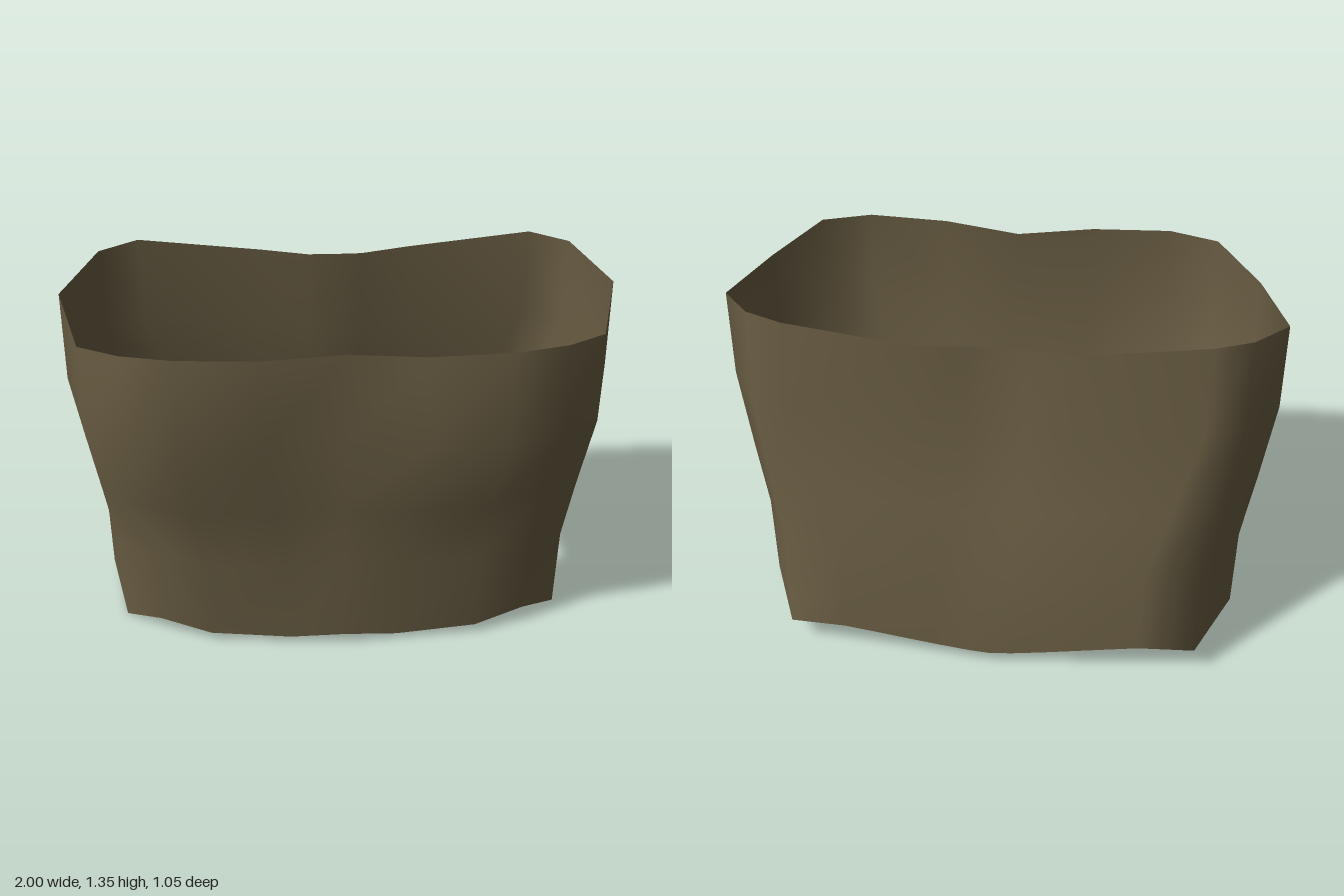
import * as THREE from 'three';

// Half outline from front centre round the left side to back centre:
// bottom rim [x, y, z], top rim [x, y, z]
const COLUMNS = [
  [[0, 0.055, 0.41], [0, 1.29, 0.46]],
  [[0.2, 0.03, 0.385], [0.28, 1.3, 0.51]],
  [[0.5, 0.045, 0.365], [0.57, 1.31, 0.51]],
  [[0.69, 0.075, 0.305], [0.75, 1.305, 0.46]],
  [[0.83, 0.005, 0.18], [0.91, 1.245, 0.28]],
  [[0.9, 0.04, -0.12], [1, 1.28, -0.05]],
  [[0.76, 0.11, -0.49], [0.87, 1.345, -0.26]],
  [[0.55, 0.125, -0.515], [0.73, 1.355, -0.33]],
  [[0.2, 0.07, -0.52], [0.28, 1.3, -0.34]],
  [[0.08, 0.06, -0.528], [0.1, 1.29, -0.31]],
  [[0, 0.055, -0.53], [0, 1.29, -0.308]],
];

// Height of each ring, and how far it has moved from bottom outline to top outline
const HEIGHTS = [0, 0.27, 0.47, 0.72, 1];
const FRONT = [0, 0.22, 0.46, 1.08, 1];
const SIDE = [0, 0.05, 0.5, 1, 1];
const BACK = [0, 0.2, 0.52, 0.83, 1];

function bandGeometry() {
  const half = COLUMNS.length;
  const count = 2 * half - 2;
  const positions = [];
  const index = [];
  HEIGHTS.forEach((h, row) => {
    for (let i = 0; i < count; i++) {
      const mirrored = i >= half;
      const c = mirrored ? count - i : i;
      const [bottom, top] = COLUMNS[c];
      const wz = (c < 5 ? FRONT : c < 6 ? SIDE : BACK)[row];
      const x = THREE.MathUtils.lerp(bottom[0], top[0], SIDE[row]);
      const y = THREE.MathUtils.lerp(bottom[1], top[1], h);
      const z = THREE.MathUtils.lerp(bottom[2], top[2], wz);
      positions.push(mirrored ? -x : x, y, z);
    }
  });
  for (let row = 0; row < HEIGHTS.length - 1; row++) {
    for (let i = 0; i < count; i++) {
      const a = row * count + i;
      const b = row * count + ((i + 1) % count);
      index.push(a, b, b + count, a, b + count, a + count);
    }
  }
  const geometry = new THREE.BufferGeometry();
  geometry.setAttribute('position', new THREE.Float32BufferAttribute(positions, 3));
  geometry.setIndex(index);
  geometry.computeVertexNormals();
  return geometry;
}

export function createModel() {
  const model = new THREE.Group();
  model.name = 'waistGarment';

  const cloth = new THREE.MeshStandardMaterial({ color: 0x695d43, side: THREE.DoubleSide });
  cloth.name = 'olive brown cloth';

  // Open cloth band, smooth all the way round
  const band = new THREE.Mesh(bandGeometry(), cloth);
  band.name = 'clothBand';
  model.add(band);
  return model;
}
